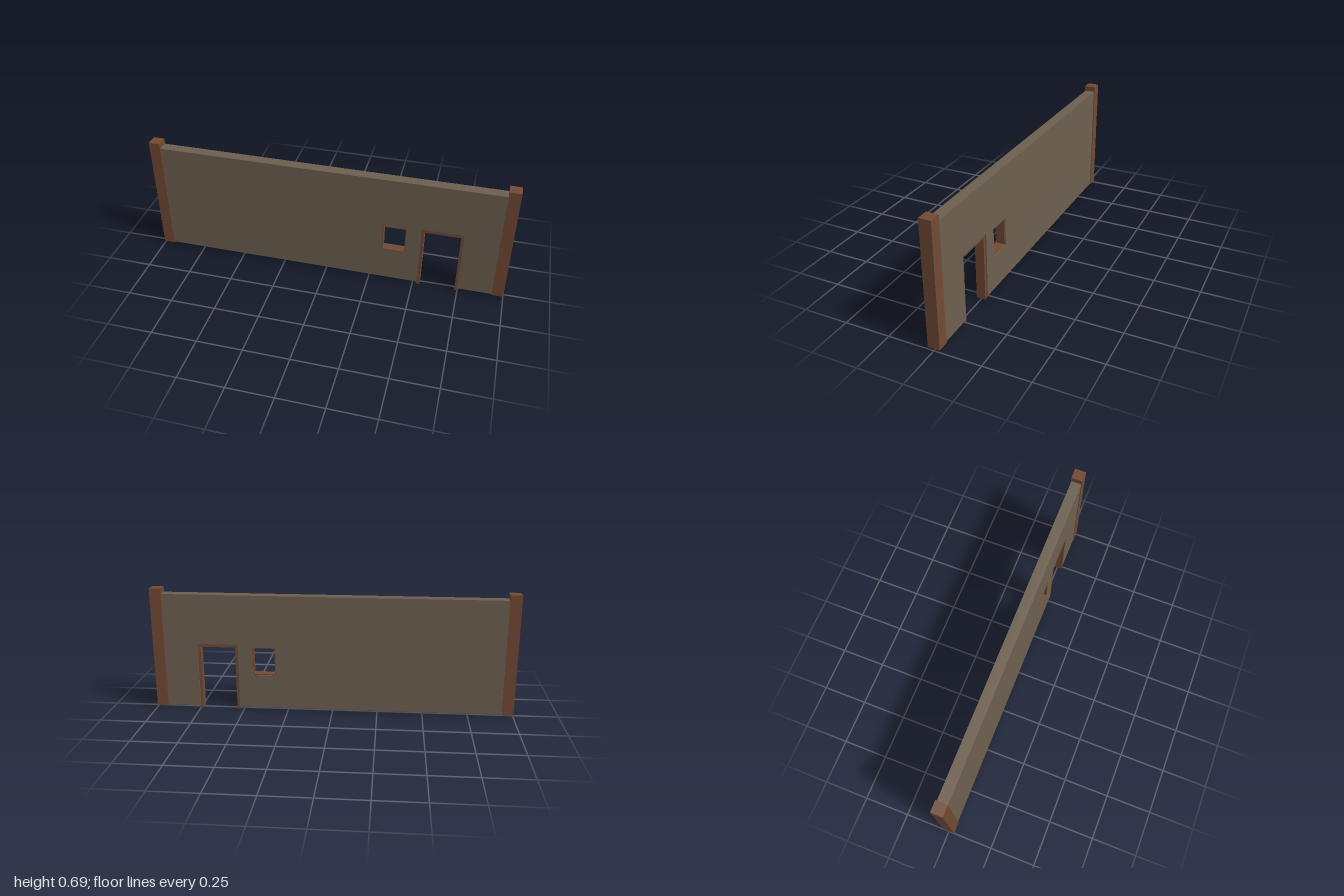
import * as THREE from 'three';

const plaster = new THREE.MeshStandardMaterial({ name: 'plaster', color: 0x6e6050 });
const wood = new THREE.MeshStandardMaterial({ name: 'wood', color: 0x724a34 });

// Closed outline from a list of [x, y] corners
const outline = (points, Type = THREE.Shape) => new Type(points.map(([x, y]) => new THREE.Vector2(x, y)));
const rect = (x0, y0, x1, y1) => [[x0, y0], [x1, y0], [x1, y1], [x0, y1]];

// Extrude a shape from z0 to z1
function slab(name, shape, z0, z1, material) {
  const geometry = new THREE.ExtrudeGeometry(shape, { depth: z1 - z0, bevelEnabled: false });
  geometry.translate(0, 0, z0);
  const mesh = new THREE.Mesh(geometry, material);
  mesh.name = name;
  return mesh;
}

export function createModel() {
  const model = new THREE.Group();
  model.name = 'wallSection';

  // Wall panel with a doorway notch and a window hole
  const wall = outline([
    [-0.95, 0.015], [0.524, 0.015], [0.524, 0.38], [0.75, 0.38],
    [0.75, 0.015], [0.95, 0.015], [0.95, 0.66], [-0.95, 0.66],
  ]);
  wall.holes.push(outline(rect(0.315, 0.206, 0.445, 0.366), THREE.Path));
  model.add(slab('wall', wall, -0.0285, 0.0285, plaster));

  // Door frame, slightly recessed, with feet reaching the ground
  const doorFrame = outline([
    [0.518, 0], [0.54, 0], [0.54, 0.362], [0.735, 0.362],
    [0.735, 0], [0.757, 0], [0.757, 0.384], [0.518, 0.384],
  ]);
  model.add(slab('doorFrame', doorFrame, -0.022, 0.0278, wood));

  // Thin window lining
  const lining = outline(rect(0.311, 0.202, 0.449, 0.37));
  lining.holes.push(outline(rect(0.32, 0.211, 0.44, 0.361), THREE.Path));
  model.add(slab('windowFrame', lining, -0.022, 0.0278, wood));

  // End posts
  for (const side of [-1, 1]) {
    const post = new THREE.Mesh(new THREE.BoxGeometry(0.063, 0.679, 0.064), wood);
    post.name = side > 0 ? 'leftPost' : 'rightPost';
    post.position.set(side * 0.9685, 0.3505, 0);
    model.add(post);
  }
  return model;
}
